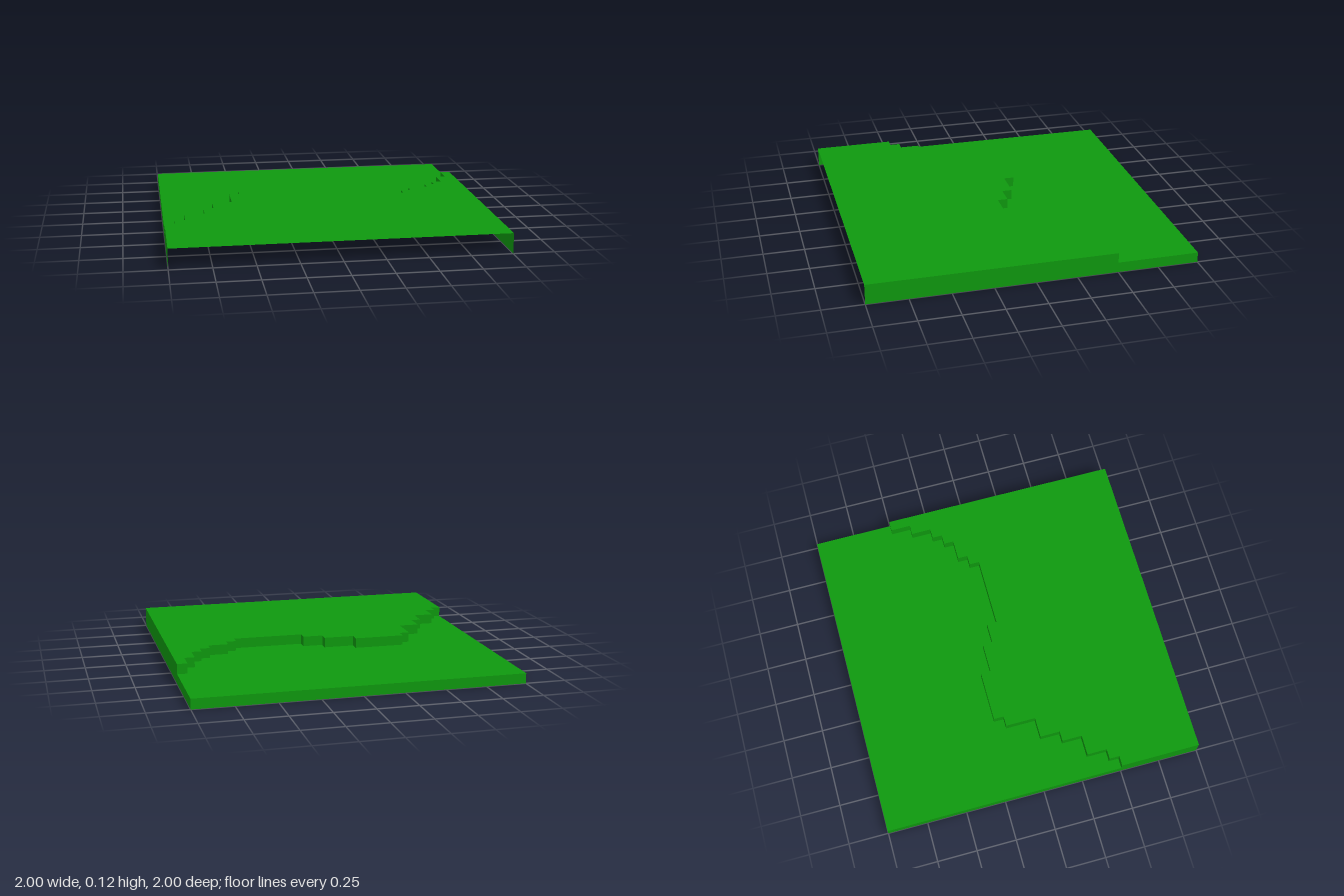
import * as THREE from 'three';
import { mergeGeometries } from 'three/addons/utils/BufferGeometryUtils.js';

const U = 1 / 16; // terrain grid cell
const LOW = U, HIGH = 2 * U;

// Ledge as runs along x: [end x, z], in grid cells, starting at x = -16
const RUNS = [
  [-15, 8], [-14, 7], [-12, 5], [-11, 3], [-9, 1], [-8, -2], [-3, -3], [0, -2],
  [2, -1], [9, 0], [10, -1], [12, -2], [13, -3], [14, -4], [15, -6], [16, -8],
];

export function createModel() {
  const grass = new THREE.MeshStandardMaterial({ color: 0x0f990f, side: THREE.DoubleSide });
  grass.name = 'grassGreen';
  const model = new THREE.Group();
  model.name = 'terrainTile';

  const add = (name, geometry) => {
    const mesh = new THREE.Mesh(geometry, grass);
    mesh.name = name;
    model.add(mesh);
  };

  // Flat ground bounded by an outline of [x, z] points
  const ground = (outline, y) => {
    const shape = new THREE.Shape(outline.map(([x, z]) => new THREE.Vector2(x, -z)));
    return new THREE.ShapeGeometry(shape).rotateX(-Math.PI / 2).translate(0, y, 0);
  };

  // Upright wall from a to b, facing the right of an observer below the line a -> b
  const wall = ([ax, az], [bx, bz], y0, y1) => {
    const dx = bx - ax, dz = bz - az;
    return new THREE.PlaneGeometry(Math.hypot(dx, dz), y1 - y0)
      .rotateY(Math.atan2(-dz, dx))
      .translate((ax + bx) / 2, (y0 + y1) / 2, (az + bz) / 2);
  };

  // Stepped ledge line from left edge to right edge
  const ledge = [];
  let x = -16;
  for (const [end, z] of RUNS) {
    ledge.push([x * U, z * U], [end * U, z * U]);
    x = end;
  }
  const zStart = ledge[0][1], zEnd = ledge[ledge.length - 1][1];

  add('upperGround', ground([...ledge, [1, 1], [-1, 1]], HIGH));
  add('lowerGround', ground([...ledge, [1, -1], [-1, -1]], LOW));

  // Ledge faces look back over the lower ground
  const faces = [];
  for (let i = 1; i < ledge.length; i++) faces.push(wall(ledge[i], ledge[i - 1], LOW, HIGH));
  add('ledgeFaces', mergeGeometries(faces));

  // Skirt on three sides; front and underside are open
  add('backSkirt', wall([1, -1], [-1, -1], 0, LOW));
  add('leftSkirt', mergeGeometries([
    wall([1, 1], [1, zEnd], 0, HIGH),
    wall([1, zEnd], [1, -1], 0, LOW),
  ]));
  add('rightSkirt', mergeGeometries([
    wall([-1, zStart], [-1, 1], 0, HIGH),
    wall([-1, -1], [-1, zStart], 0, LOW),
  ]));

  return model;
}
